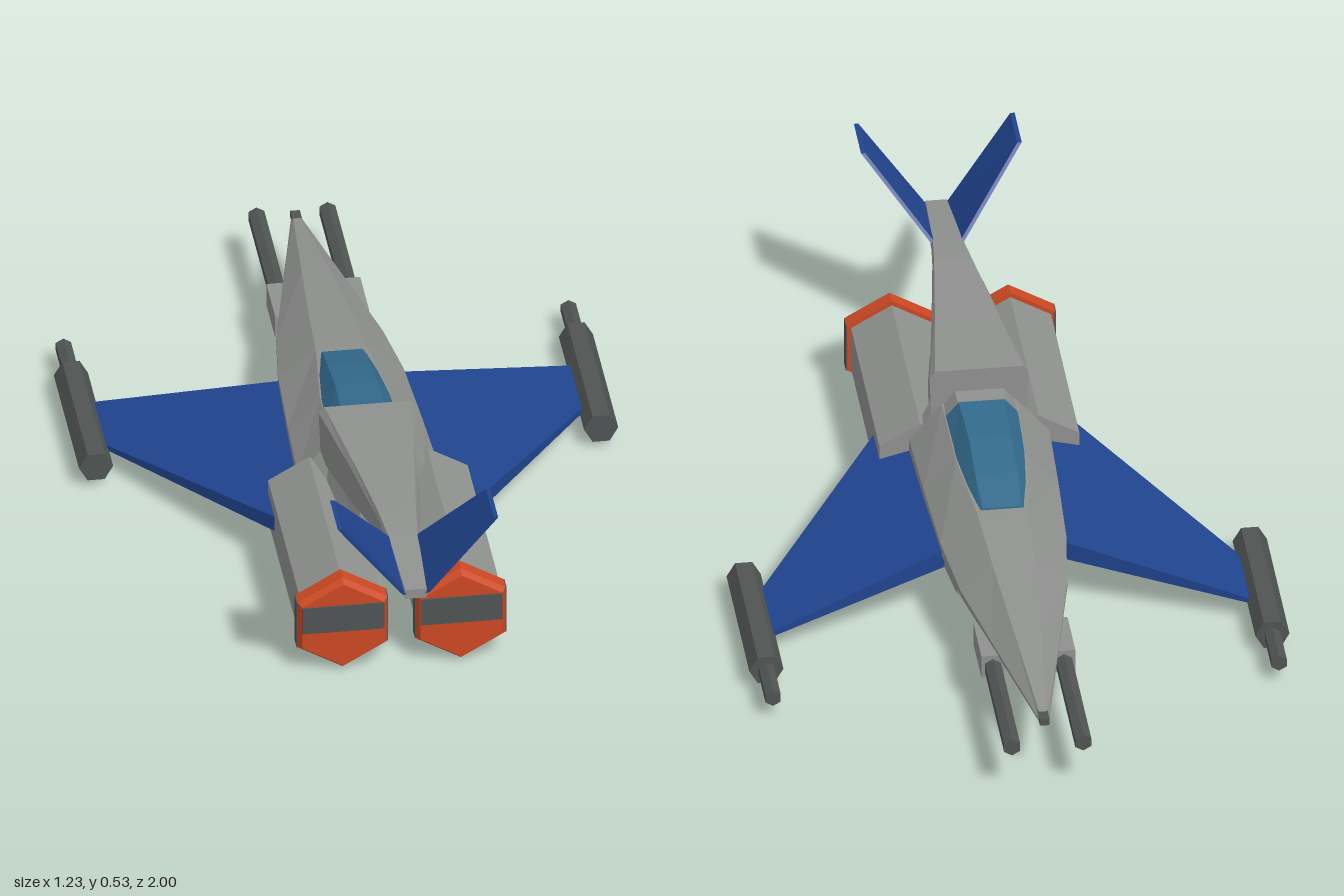
import * as THREE from 'three';

const mat = (name, color, side = THREE.FrontSide) => {
  const m = new THREE.MeshStandardMaterial({ color, flatShading: true, side });
  m.name = name;
  return m;
};

export function createModel() {
  const hull = mat('hullGrey', 0x8f918f);
  const dark = mat('gunmetal', 0x505453);
  const blue = mat('wingBlue', 0x20448e);
  const orange = mat('nozzleOrange', 0xcc4822);
  const glass = mat('canopyGlass', 0x336a8c);
  const ship = new THREE.Group();
  ship.name = 'starfighter';

  const add = (name, geometry, material, x = 0, y = 0, z = 0) => {
    const m = new THREE.Mesh(geometry, material);
    m.name = name;
    m.position.set(x, y, z);
    ship.add(m);
    return m;
  };
  const box = (name, material, w, h, d, x, y, z) =>
    add(name, new THREE.BoxGeometry(w, h, d), material, x, y, z);

  // Joins rings of [x, y, z] points and caps both ends
  const loft = (name, rings, material, mirror = false) => {
    if (mirror) rings = rings.map(r => r.map(([x, y, z]) => [-x, y, z])).reverse();
    const pos = [], n = rings[0].length;
    const tri = (a, b, c) => pos.push(...a, ...b, ...c);
    for (let i = 0; i + 1 < rings.length; i++) {
      const p = rings[i], q = rings[i + 1];
      for (let j = 0; j < n; j++) {
        const k = (j + 1) % n;
        tri(p[j], p[k], q[k]);
        tri(p[j], q[k], q[j]);
      }
    }
    const first = rings[0], last = rings[rings.length - 1];
    for (let j = 1; j + 1 < n; j++) {
      tri(first[0], first[j + 1], first[j]);
      tri(last[0], last[j], last[j + 1]);
    }
    const g = new THREE.BufferGeometry();
    g.setAttribute('position', new THREE.Float32BufferAttribute(pos, 3));
    g.computeVertexNormals();
    return add(name, g, material);
  };

  // Symmetric section at z from [halfWidth, y] points, listed bottom to top
  const section = (z, ...half) => [
    ...half.map(([x, y]) => [x, y, z]),
    ...half.slice().reverse().map(([x, y]) => [-x, y, z]),
  ];
  const hexTube = (name, material, r, z0, z1, x, y, turn = 0) => {
    const g = new THREE.CylinderGeometry(r, r, z1 - z0, 6);
    g.rotateY(turn);
    g.rotateX(Math.PI / 2);
    return add(name, g, material, x, y, (z0 + z1) / 2);
  };

  // Long tapering fuselage
  loft('fuselage', [
    section(-0.93, [0.006, 0.138], [0.012, 0.142], [0.012, 0.148], [0.008, 0.155]),
    section(-0.62, [0.05, 0.138], [0.077, 0.148], [0.077, 0.158], [0.032, 0.2]),
    section(-0.4, [0.09, 0.14], [0.122, 0.15], [0.122, 0.165], [0.048, 0.225]),
    section(-0.22, [0.11, 0.14], [0.143, 0.15], [0.143, 0.175], [0.058, 0.244]),
    section(0.0, [0.12, 0.14], [0.153, 0.15], [0.153, 0.18], [0.08, 0.255]),
    section(0.21, [0.12, 0.14], [0.16, 0.15], [0.16, 0.185], [0.085, 0.272]),
    section(0.3, [0.1, 0.14], [0.11, 0.15], [0.11, 0.19], [0.08, 0.265]),
    section(0.5, [0.06, 0.145], [0.075, 0.155], [0.075, 0.21], [0.06, 0.255]),
  ], hull);
  box('noseTip', dark, 0.022, 0.016, 0.1, 0, 0.149, -0.9);

  // Belly
  loft('belly', [
    section(-0.33, [0.07, 0.09], [0.12, 0.11], [0.12, 0.15]),
    section(-0.1, [0.075, 0.045], [0.14, 0.09], [0.14, 0.155]),
    section(0.21, [0.075, 0.04], [0.15, 0.08], [0.15, 0.16]),
    section(0.32, [0.06, 0.04], [0.1, 0.08], [0.1, 0.16]),
  ], hull);

  // Cockpit
  loft('canopy', [
    section(-0.2, [0.055, 0.238], [0.045, 0.249]),
    section(-0.1, [0.07, 0.245], [0.048, 0.275]),
    section(0.02, [0.083, 0.25], [0.048, 0.298]),
    section(0.165, [0.087, 0.262], [0.052, 0.303]),
  ], glass);
  loft('canopyFrame', [
    section(0.165, [0.088, 0.26], [0.054, 0.304]),
    section(0.22, [0.09, 0.26], [0.056, 0.304]),
  ], hull);

  // Dorsal boom that carries the tail
  loft('tailBoom', [
    section(0.21, [0.108, 0.225], [0.113, 0.345], [0.1, 0.36]),
    section(0.43, [0.075, 0.25], [0.08, 0.35], [0.072, 0.363]),
    section(0.67, [0.042, 0.3], [0.047, 0.35], [0.043, 0.361]),
    section(0.76, [0.034, 0.306], [0.038, 0.345], [0.034, 0.355]),
    section(0.965, [0.024, 0.31], [0.027, 0.326], [0.024, 0.333]),
  ], hull);
  box('boomStrut', dark, 0.06, 0.065, 0.27, 0, 0.262, 0.535);

  for (const s of [1, -1]) {
    const side = s > 0 ? 'left' : 'right';
    const mirror = s < 0;

    // Engine with beveled nozzle
    const ex = 0.135, ey = 0.12;
    hexTube(side + 'Engine', hull, 0.107, 0.205, 0.71, s * ex, ey);
    const hexRing = (r, z) => Array.from({ length: 6 }, (_, i) => {
      const a = Math.PI / 6 + i * Math.PI / 3;
      return [ex + r * Math.cos(a), ey + r * Math.sin(a), z];
    });
    loft(side + 'Nozzle',
      [hexRing(0.118, 0.705), hexRing(0.118, 0.74), hexRing(0.108, 0.755)], orange, mirror);
    box(side + 'NozzleBand', dark, 0.186, 0.068, 0.006, s * ex, 0.139, 0.755);
    for (const k of [1, -1])
      box(side + 'NozzleSidePlate', dark, 0.006, 0.118, 0.035, s * ex + k * 0.1015, ey, 0.7225);

    // Swept wing, thinning towards the tip
    const wingRing = (x, y0, y1, z0, z1) => [[x, y0, z0], [x, y1, z0], [x, y1, z1], [x, y0, z1]];
    loft(side + 'Wing', [
      wingRing(0.135, 0.118, 0.163, -0.227, 0.45),
      wingRing(0.56, 0.046, 0.057, -0.365, -0.2),
    ], blue, mirror);

    // Wingtip cannon
    hexTube(side + 'CannonBody', dark, 0.039, -0.5, -0.1, s * 0.576, 0.051, Math.PI / 6);
    hexTube(side + 'CannonBarrel', dark, 0.02, -0.62, -0.49, s * 0.576, 0.051);

    // Nose gun
    box(side + 'NoseGunMount', hull, 0.052, 0.056, 0.14, s * 0.081, 0.122, -0.59);
    hexTube(side + 'NoseGunBarrel', dark, 0.021, -1, -0.65, s * 0.081, 0.12);

    // Canted tail fin
    const t = 0.005;
    const finRing = (x, yf, yb, zf, zb) =>
      [[x + t, yb, zb], [x + t, yf, zf], [x - t, yf, zf], [x - t, yb, zb]];
    loft(side + 'TailFin', [
      finRing(0.026, 0.34, 0.322, 0.757, 0.965),
      finRing(0.178, 0.53, 0.53, 0.875, 1.0),
    ], blue, mirror);
  }
  return ship;
}
